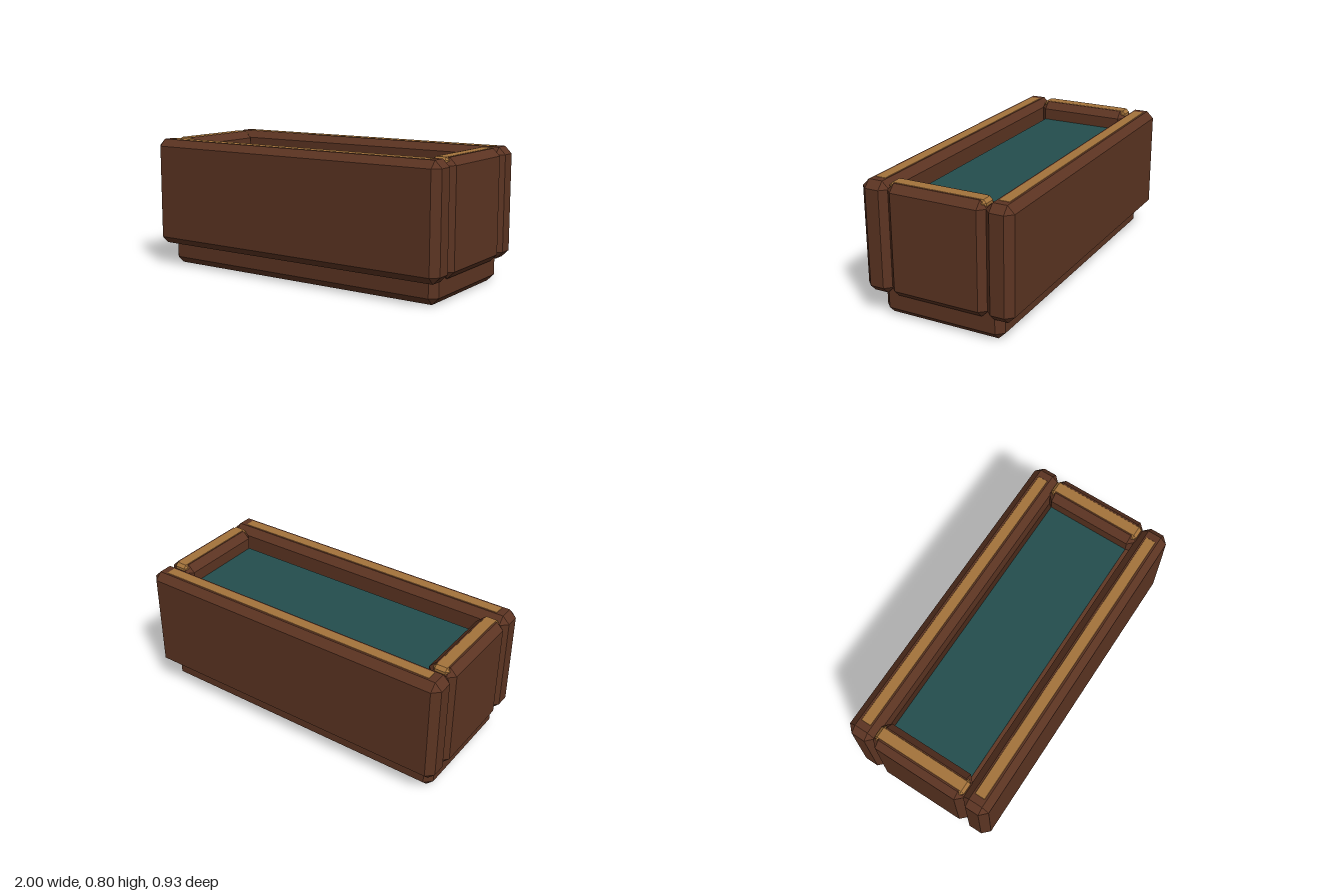
import * as THREE from 'three';
import { ConvexGeometry } from 'three/addons/geometries/ConvexGeometry.js';

const wood = new THREE.MeshStandardMaterial({ name: 'brown wood', color: 0x5c3422 });
const trim = new THREE.MeshStandardMaterial({ name: 'golden trim', color: 0xa4733b });
const cloth = new THREE.MeshStandardMaterial({ name: 'teal lining', color: 0x234d4d });

// Box with every edge cut at 45 degrees and triangular corner facets
function chamferBox(w, h, d, c) {
  const [x, y, z] = [w / 2, h / 2, d / 2];
  const points = [];
  for (const sx of [-1, 1]) for (const sy of [-1, 1]) for (const sz of [-1, 1]) {
    points.push(
      new THREE.Vector3(sx * x, sy * (y - c), sz * (z - c)),
      new THREE.Vector3(sx * (x - c), sy * y, sz * (z - c)),
      new THREE.Vector3(sx * (x - c), sy * (y - c), sz * z)
    );
  }
  return new ConvexGeometry(points);
}

export function createModel() {
  const group = new THREE.Group();
  const C = 0.042;

  // Places a chamfered block between heights y0 and y1
  const block = (name, material, w, d, y0, y1, c, x = 0, z = 0) => {
    const mesh = new THREE.Mesh(chamferBox(w, y1 - y0, d, c), material);
    mesh.name = name;
    mesh.position.set(x, (y0 + y1) / 2, z);
    group.add(mesh);
  };

  // Plinth and inner core
  block('base', wood, 1.9, 0.756, 0, 0.24, C);
  block('innerCore', wood, 1.8, 0.61, 0.16, 0.68, C);

  // Lining surface inside the rim
  const lining = new THREE.Mesh(new THREE.BoxGeometry(1.7, 0.006, 0.526), cloth);
  lining.name = 'lining';
  lining.position.y = 0.68;
  group.add(lining);

  // Long walls with inlaid trim
  for (const [side, s] of [['front', 1], ['back', -1]]) {
    block(side + 'Wall', wood, 2, 0.168, 0.137, 0.795, C, 0, s * 0.379);
    block(side + 'Trim', trim, 1.862, 0.096, 0.745, 0.7965, 0.018, 0, s * 0.378);
  }

  // End walls with inlaid trim
  for (const [side, s] of [['left', 1], ['right', -1]]) {
    block(side + 'Wall', wood, 0.168, 0.61, 0.137, 0.795, C, s * 0.916);
    block(side + 'Trim', trim, 0.1, 0.592, 0.745, 0.7965, 0.018, s * 0.915);
  }

  return group;
}
